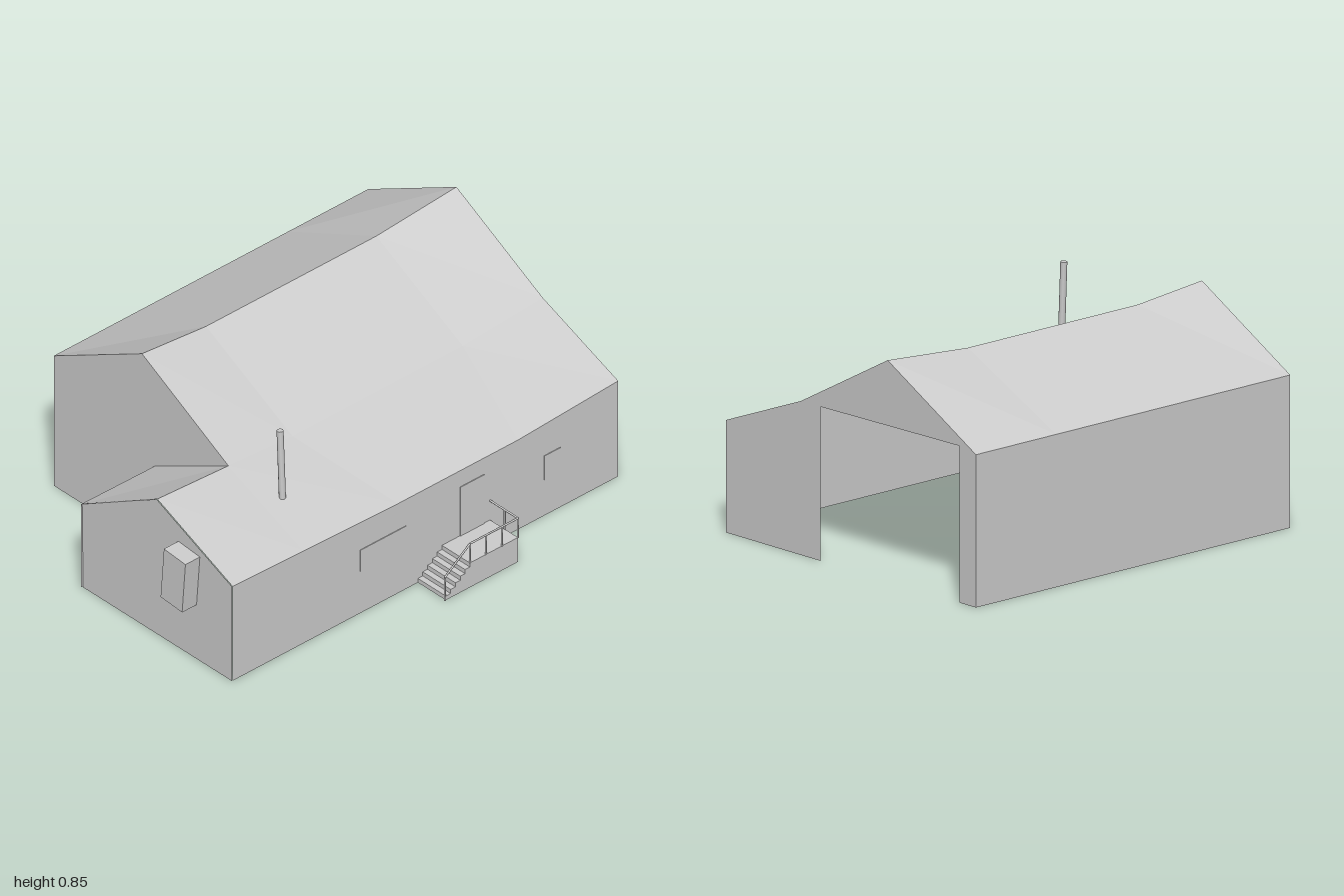
import * as THREE from 'three';

const grey = new THREE.MeshStandardMaterial({ color: 0xcccccc, side: THREE.DoubleSide });
grey.name = 'plain grey';

export function createModel() {
  const house = new THREE.Group();
  house.name = 'house';

  const add = (name, geometry, parent = house) => {
    const mesh = new THREE.Mesh(geometry, grey);
    mesh.name = name;
    parent.add(mesh);
    return mesh;
  };

  // Flat-shaded sheet between two rows of points
  const sheet = (name, a, b, parent) => {
    const pos = [];
    for (let i = 0; i < a.length - 1; i++) {
      pos.push(...a[i], ...b[i], ...b[i + 1], ...a[i], ...b[i + 1], ...a[i + 1]);
    }
    const g = new THREE.BufferGeometry();
    g.setAttribute('position', new THREE.Float32BufferAttribute(pos, 3));
    g.computeVertexNormals();
    return add(name, g, parent);
  };

  // Upright flat panel from an outline in x and y
  const panel = (name, outline, z, back = false) => {
    const sign = back ? -1 : 1;
    const shape = new THREE.Shape(outline.map(([x, y]) => new THREE.Vector2(sign * x, y)));
    const mesh = add(name, new THREE.ShapeGeometry(shape));
    mesh.position.z = z;
    if (back) mesh.rotation.y = Math.PI;
    return mesh;
  };

  // Straight round bar between two points
  const bar = (name, p, q, r, parent = house, sides = 6) => {
    const a = new THREE.Vector3(...p), b = new THREE.Vector3(...q);
    const d = b.clone().sub(a);
    const mesh = add(name, new THREE.CylinderGeometry(r, r, d.length(), sides), parent);
    mesh.position.copy(a).add(b).multiplyScalar(0.5);
    mesh.quaternion.setFromUnitVectors(new THREE.Vector3(0, 1, 0), d.normalize());
    return mesh;
  };

  // Sagging roof lines, from back to front
  const ridge = [[-0.28, 0.845, -1], [-0.28, 0.815, -0.6], [-0.28, 0.815, 0.25], [-0.28, 0.845, 0.57]];
  const leftEave = [-1, -0.6, 0.25, 0.57].map(z => [-0.76, 0.585, z]);
  const knee = [[0.19, 0.59, -1], [0.19, 0.565, -0.6], [0.19, 0.565, 0.25], [0.19, 0.585, 0.57], [0.19, 0.605, 0.925]];
  const rightEave = [[0.6, 0.43, -1], [0.6, 0.403, -0.5], [0.6, 0.403, 0.1], [0.6, 0.415, 0.57], [0.6, 0.425, 0.925]];
  const ground = row => row.map(([x, , z]) => [x, 0, z]);

  sheet('leftRoof', ridge, leftEave);
  sheet('rightRoofUpper', knee.slice(0, 4), ridge);
  sheet('rightRoofLower', rightEave, knee);
  sheet('leftWall', leftEave, ground(leftEave));
  sheet('rightWall', ground(rightEave), rightEave);

  // Front wing
  const wingEave = [[-0.21, 0.375, 0.57], [-0.215, 0.375, 0.935]];
  sheet('wingRoof', knee.slice(3), wingEave);
  sheet('wingLeftWall', wingEave, ground(wingEave));
  panel('wingFrontWall', [[-0.21, 0], [0.6, 0], [0.6, 0.425], [0.19, 0.605], [-0.215, 0.375]], 0.928);

  // Main gables; the back one has a tall opening
  panel('mainFrontWall', [[-0.76, 0], [-0.21, 0], [-0.21, 0.375], [0.19, 0.585], [-0.28, 0.845], [-0.76, 0.585]], 0.57);
  panel('backWall', [[-0.76, 0], [-0.67, 0], [-0.67, 0.6], [0.085, 0.59], [0.085, 0], [0.6, 0],
    [0.6, 0.43], [0.19, 0.59], [-0.28, 0.845], [-0.76, 0.585]], -1, true);

  // Leaning box on the wing front
  const boxShape = new THREE.Shape([[0.29, 0.252], [0.407, 0.243], [0.425, 0.468], [0.308, 0.478]]
    .map(p => new THREE.Vector2(...p)));
  add('wallBox', new THREE.ExtrudeGeometry(boxShape, { depth: 0.072, bevelEnabled: false })).position.z = 0.928;

  // Chimney pipe
  bar('chimney', [0.386, 0.5, 0.48], [0.373, 0.797, 0.48], 0.013, house, 8);

  // Door and windows in the right wall: z from, z to, y from, y to
  [['door', -0.33, -0.21, 0.11, 0.33], ['frontWindow', 0.06, 0.29, 0.19, 0.285], ['backWindow', -0.71, -0.63, 0.16, 0.27]]
    .forEach(([name, z0, z1, y0, y1]) => {
      add(name, new THREE.BoxGeometry(0.004, y1 - y0, z1 - z0)).position.set(0.601, (y0 + y1) / 2, (z0 + z1) / 2);
    });

  // Porch: steps climbing towards the back, hollow underneath
  const porch = new THREE.Group();
  porch.name = 'porch';
  house.add(porch);
  const x0 = 0.6, x1 = 0.752, top = 0.11, count = 6, landing = -0.12, end = -0.36;
  const profile = [[0, 0]];
  for (let i = 1; i <= count; i++) {
    const y = top * i / count;
    profile.push([landing * (i - 1) / (count - 1), y]);
    profile.push([i < count ? landing * i / (count - 1) : end, y]);
  }
  profile.push([end, 0]);
  sheet('stepsAndLanding', profile.map(([z, y]) => [x0, y, z]), profile.map(([z, y]) => [x1, y, z]), porch);
  const skirt = add('porchSide', new THREE.ShapeGeometry(
    new THREE.Shape(profile.map(([z, y]) => new THREE.Vector2(-z, y)).reverse())), porch);
  skirt.rotation.y = Math.PI / 2;
  skirt.position.x = x1;

  // Handrails and posts
  const r = 0.004, rail = 0.197;
  bar('slopedRail', [x1, 0.105, 0.005], [x1, rail, landing], r, porch);
  bar('sideRail', [x1, rail, landing], [x1, rail, end], r, porch);
  bar('backRail', [x0, rail, end], [x1, rail, end], r, porch);
  bar('bottomPost', [x1, 0, 0.005], [x1, 0.105, 0.005], r, porch);
  for (const z of [landing, -0.2, -0.28, end]) bar('sidePost', [x1, top, z], [x1, rail, z], r, porch);
  bar('backPost', [0.68, top, end], [0.68, rail, end], r, porch);

  return house;
}
